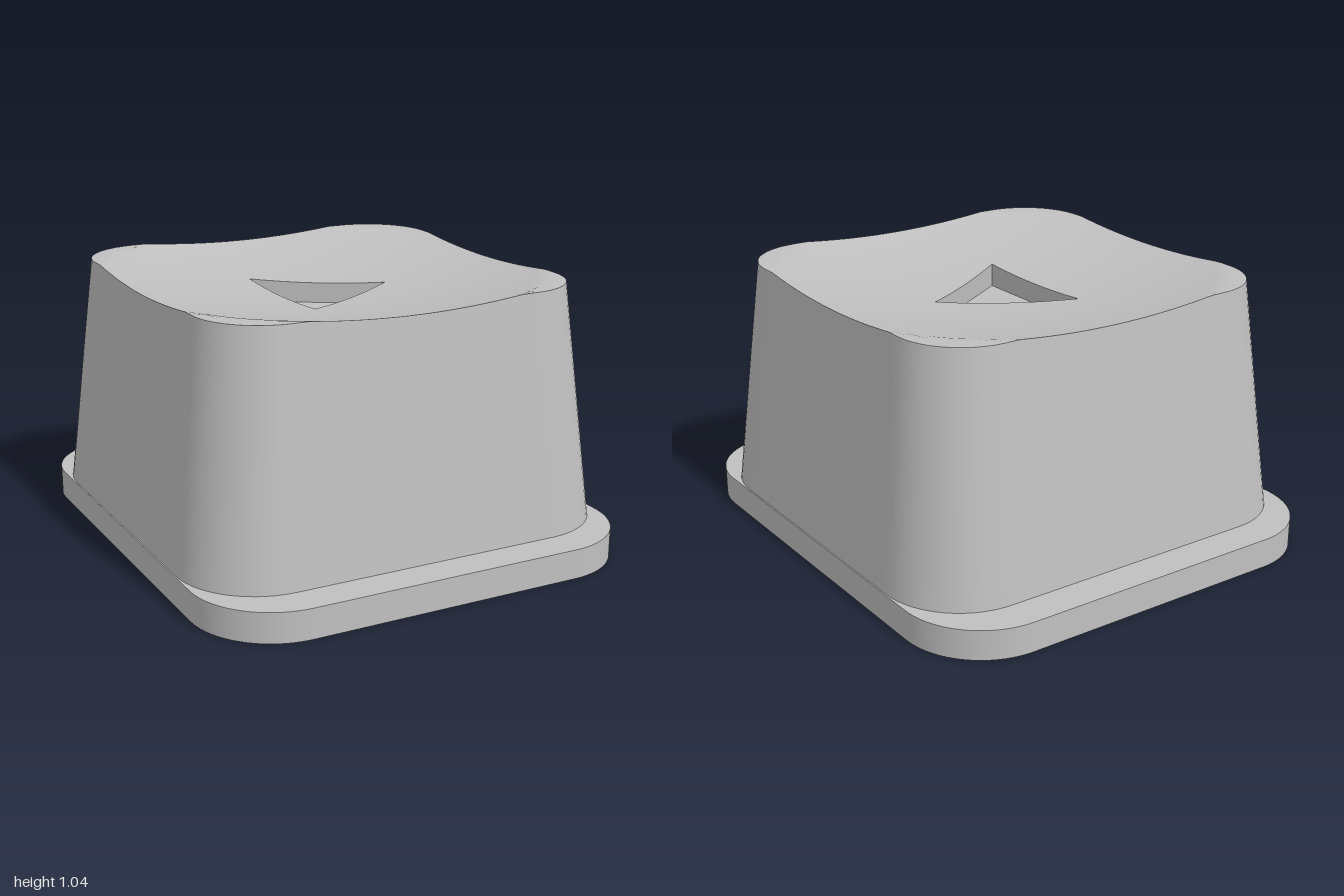
import * as THREE from 'three';
import { toCreasedNormals } from 'three/addons/utils/BufferGeometryUtils.js';

const FLANGE_H = 0.116, TOP = 1.045, RECESS_FLOOR = 0.866;
const HOLE_R = 0.3, HOLE_ROOF = 0.32;
const TRI = { back: -0.175, tip: 0.29, half: 0.29 };

// Shallow dish that runs out flat near the corners
const dishY = (x, z) => Math.min(TOP, TOP + 0.134 * (x * x + z * z - 0.757));

// Distance from the centre to a rounded square along a direction
function squareHit(c, s, half, r) {
  const a = Math.abs(c), b = Math.abs(s), k = half - r;
  const t = half / Math.max(a, b);
  if (t * Math.min(a, b) <= k) return t;
  const m = k * (a + b);
  return m + Math.sqrt(m * m - 2 * k * k + r * r);
}

// Distance from the centre to the triangle along a direction
function triangleHit(c, s) {
  const { back, tip, half } = TRI;
  const slant = half * c + (tip - back) * Math.abs(s);
  const tSlant = slant > 1e-9 ? (half * tip) / slant : Infinity;
  return c < 0 ? Math.min(tSlant, back / c) : tSlant;
}

// Joins closed rings of points into a surface
function loft(rings) {
  const n = rings[0].length, index = [];
  for (let k = 0; k < rings.length - 1; k++) {
    for (let i = 0; i < n; i++) {
      const j = (i + 1) % n;
      const a = k * n + i, d = k * n + j, b = a + n, c = d + n;
      index.push(a, b, c, a, c, d);
    }
  }
  const g = new THREE.BufferGeometry();
  g.setAttribute('position', new THREE.Float32BufferAttribute(rings.flat(2), 3));
  g.setIndex(index);
  return toCreasedNormals(g, Math.PI / 6);
}

function roundedRect(hx, hy, r) {
  const s = new THREE.Shape();
  s.moveTo(hx, -hy + r);
  s.absarc(hx - r, hy - r, r, 0, Math.PI / 2);
  s.absarc(-hx + r, hy - r, r, Math.PI / 2, Math.PI);
  s.absarc(-hx + r, -hy + r, r, Math.PI, Math.PI * 1.5);
  s.absarc(hx - r, -hy + r, r, Math.PI * 1.5, Math.PI * 2);
  return s;
}

export function createModel() {
  const group = new THREE.Group();
  const grey = new THREE.MeshStandardMaterial({ color: 0xc0c0c0 });
  grey.name = 'grey';
  const add = (name, geometry) => {
    const mesh = new THREE.Mesh(geometry, grey);
    mesh.name = name;
    group.add(mesh);
  };

  // Shared directions, including the exact triangle corners
  const corner = Math.atan2(TRI.half, TRI.back);
  const angles = [corner, 2 * Math.PI - corner];
  for (let i = 0; i < 192; i++) angles.push((i / 192) * 2 * Math.PI);
  angles.sort((a, b) => a - b);
  const dirs = angles.map(a => [Math.cos(a), Math.sin(a)]);

  // Tapered sides, cut off by the dish
  const sidePoint = (c, s, y) => {
    const t = (y - FLANGE_H) / (TOP - FLANGE_H);
    const d = squareHit(c, s, THREE.MathUtils.lerp(0.86, 0.755, t), THREE.MathUtils.lerp(0.32, 0.26, t));
    return [c * d, y, s * d];
  };
  const foot = dirs.map(([c, s]) => sidePoint(c, s, FLANGE_H));
  const rim = dirs.map(([c, s]) => {
    let p = sidePoint(c, s, TOP);
    for (let i = 0; i < 4; i++) p = sidePoint(c, s, dishY(p[0], p[2]));
    return p;
  });
  add('buttonSides', loft([foot, rim]));

  // Dished top around the triangle
  const triEdge = dirs.map(([c, s]) => {
    const d = triangleHit(c, s);
    return [c * d, dishY(c * d, s * d), s * d];
  });
  const dish = [];
  for (let k = 0; k <= 24; k++) {
    const t = k / 24;
    dish.push(rim.map((p, i) => {
      const x = THREE.MathUtils.lerp(p[0], triEdge[i][0], t);
      const z = THREE.MathUtils.lerp(p[2], triEdge[i][2], t);
      return [x, k === 0 ? p[1] : dishY(x, z), z];
    }));
  }
  add('dishedTop', loft(dish));

  // Engraved triangle with a flat floor
  add('triangleRecess', loft([
    triEdge,
    triEdge.map(p => [p[0], RECESS_FLOOR, p[2]]),
    triEdge.map(() => [0, RECESS_FLOOR, 0]),
  ]));

  // Base flange with a square pocket underneath
  const flange = roundedRect(0.865, 1, 0.32);
  flange.holes.push(roundedRect(0.475, 0.475, 0.05));
  const flangeGeo = new THREE.ExtrudeGeometry(flange, { depth: FLANGE_H, bevelEnabled: false, curveSegments: 24 });
  flangeGeo.rotateX(-Math.PI / 2);
  add('baseFlange', toCreasedNormals(flangeGeo, Math.PI / 6));

  // Pocket roof with a round blind hole
  const roof = roundedRect(0.475, 0.475, 0.05);
  roof.holes.push(new THREE.Path().absarc(0, 0, HOLE_R, 0, Math.PI * 2));
  add('pocketRoof', new THREE.ShapeGeometry(roof, 32).rotateX(Math.PI / 2));
  const profile = [[0, HOLE_ROOF], [HOLE_R, HOLE_ROOF], [HOLE_R, FLANGE_H]].map(p => new THREE.Vector2(...p));
  add('stemHole', toCreasedNormals(new THREE.LatheGeometry(profile, 64), Math.PI / 6));

  return group;
}
